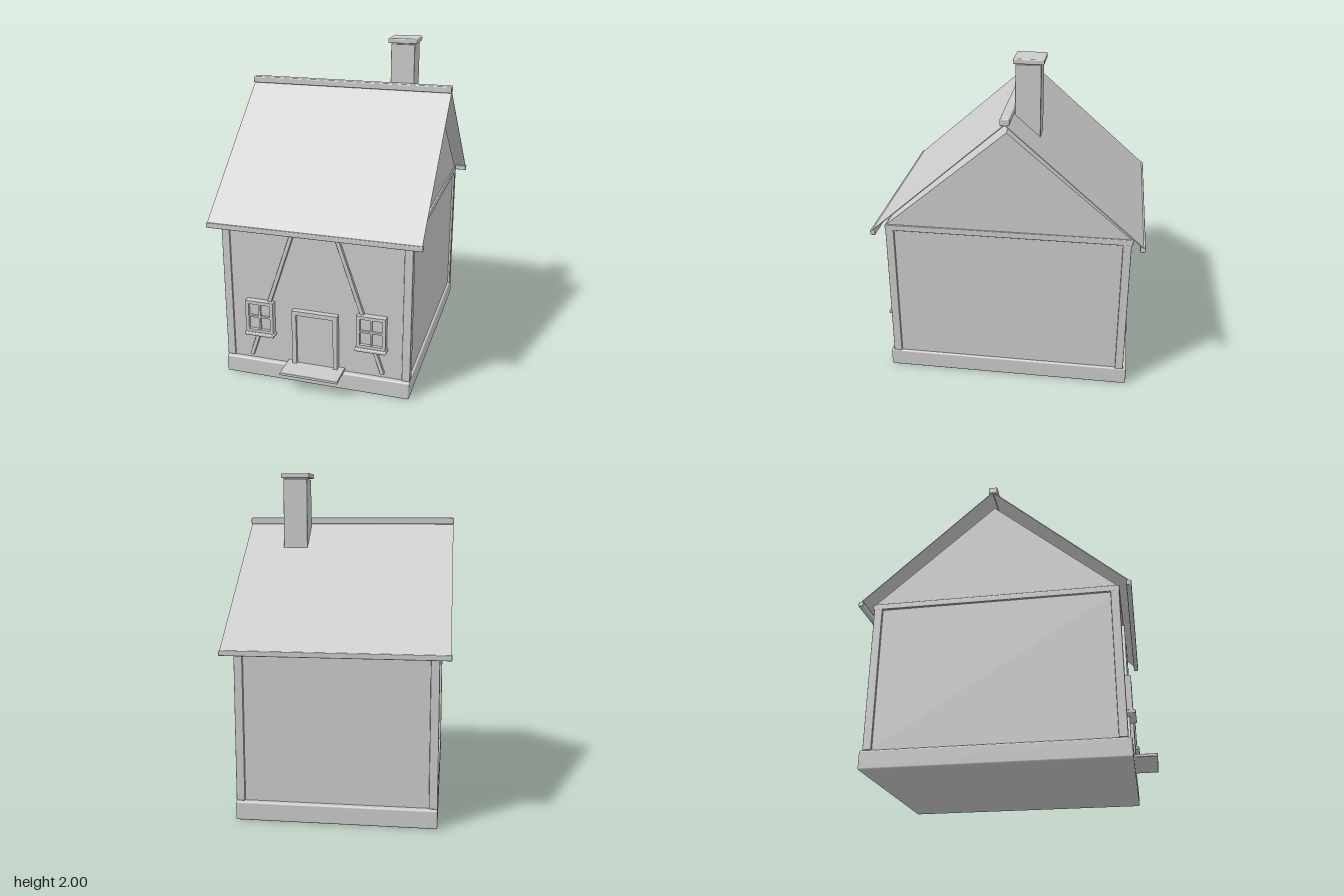
import * as THREE from 'three';
import { RoundedBoxGeometry } from 'three/addons/geometries/RoundedBoxGeometry.js';

const grey = new THREE.MeshStandardMaterial({ color: 0xcccccc });
const greyThin = new THREE.MeshStandardMaterial({ color: 0xcccccc, side: THREE.DoubleSide });
const ZC = -0.04; // ridge line

export function createModel() {
  const house = new THREE.Group();
  house.name = 'cottage';

  const add = (name, geometry, parent = house, material = grey) => {
    const mesh = new THREE.Mesh(geometry, material);
    mesh.name = name;
    parent.add(mesh);
    return mesh;
  };
  // box from min/max ranges, with an optional soft edge
  const box = (name, [x0, x1], [y0, y1], [z0, z1], r = 0, parent = house) => {
    const s = [x1 - x0, y1 - y0, z1 - z0];
    const geo = r ? new RoundedBoxGeometry(...s, 2, r) : new THREE.BoxGeometry(...s);
    const mesh = add(name, geo, parent);
    mesh.position.set((x0 + x1) / 2, (y0 + y1) / 2, (z0 + z1) / 2);
    return mesh;
  };
  // rectangular frame with a hole, facing +z
  const frame = (name, [x0, x1], [y0, y1], [z0, z1], [sx, bottom, top], parent = house) => {
    const rect = (C, a, b, c, d) => new C().moveTo(a, c).lineTo(b, c).lineTo(b, d).lineTo(a, d).closePath();
    const shape = rect(THREE.Shape, x0, x1, y0, y1);
    shape.holes.push(rect(THREE.Path, x0 + sx, x1 - sx, y0 + bottom, y1 - top));
    const geo = new THREE.ExtrudeGeometry(shape, { depth: z1 - z0, bevelEnabled: false });
    add(name, geo, parent).position.z = z0;
  };

  // Foundation, walls, corner posts and the beam under the roof
  box('foundation', [-0.58, 0.58], [0, 0.11], [-0.785, 0.71], 0.01);
  box('walls', [-0.565, 0.565], [0.1, 0.98], [-0.75, 0.68]);
  for (const x of [-0.555, 0.555])
    for (const z of [-0.74, 0.665])
      box('cornerPost', [x - 0.025, x + 0.025], [0.11, 0.98], [z - 0.025, z + 0.025], 0.004);
  box('wallPlate', [-0.58, 0.58], [0.975, 1.012], [-0.773, 0.693], 0.005);

  // Gable block beneath the roof
  const gable = new THREE.Shape().moveTo(-0.725, 1.01).lineTo(0.725, 1.01).lineTo(0, 1.625).closePath();
  const gableGeo = new THREE.ExtrudeGeometry(gable, { depth: 1.14, bevelEnabled: false });
  gableGeo.translate(0, 0, -0.57).rotateY(Math.PI / 2);
  add('gables', gableGeo).position.z = ZC;

  // Thin roof slopes, eave boards and ridge
  const rise = 0.695, run = 0.79;
  for (const s of [1, -1]) {
    const slope = add('roofSlope', new THREE.BoxGeometry(1.28, 0.005, Math.hypot(rise, run)), house, greyThin);
    slope.position.set(0, 1 + rise / 2, ZC + s * run / 2);
    slope.rotation.x = s * Math.atan2(rise, run);
    const z = ZC + s * 0.787;
    box('eaveBoard', [-0.645, 0.645], [0.973, 1.003], [z - 0.015, z + 0.015], 0.005);
  }
  box('ridgeBeam', [-0.642, 0.642], [1.69, 1.73], [-0.067, -0.013], 0.007);

  // Chimney
  box('chimneyStack', [0.252, 0.4], [1.4, 1.965], [-0.212, -0.066], 0.004);
  box('chimneyCap', [0.236, 0.412], [1.97, 2], [-0.23, -0.055], 0.007);

  // Door with surround and step
  const door = new THREE.Group();
  door.name = 'door';
  house.add(door);
  frame('doorFrame', [-0.142, 0.142], [0.125, 0.482], [0.675, 0.715], [0.027, 0, 0.027], door);
  box('doorPanel', [-0.117, 0.117], [0.125, 0.456], [0.675, 0.698], 0.005, door);
  box('doorStep', [-0.18, 0.18], [0.112, 0.13], [0.675, 0.84], 0.004, door);

  // Windows and slanted timbers, mirrored left and right
  for (const s of [1, -1]) {
    const win = new THREE.Group();
    win.name = s > 0 ? 'leftWindow' : 'rightWindow';
    win.position.x = s * 0.348;
    house.add(win);
    frame('windowFrame', [-0.088, 0.088], [0.305, 0.512], [0.675, 0.72], [0.02, 0.02, 0.02], win);
    box('windowPane', [-0.075, 0.075], [0.32, 0.5], [0.675, 0.7], 0, win);
    box('verticalBar', [-0.006, 0.006], [0.32, 0.5], [0.69, 0.714], 0, win);
    box('horizontalBar', [-0.075, 0.075], [0.403, 0.415], [0.69, 0.714], 0, win);
    box('windowSill', [-0.095, 0.095], [0.287, 0.307], [0.675, 0.735], 0.006, win);

    const brace = box('slantedTimber', [-0.012, 0.012], [-0.432, 0.432], [0.672, 0.7], 0.003);
    brace.position.set(s * 0.277, 0.545, 0.686);
    brace.rotation.z = s * Math.atan2(0.28, 0.83);
  }
  return house;
}
